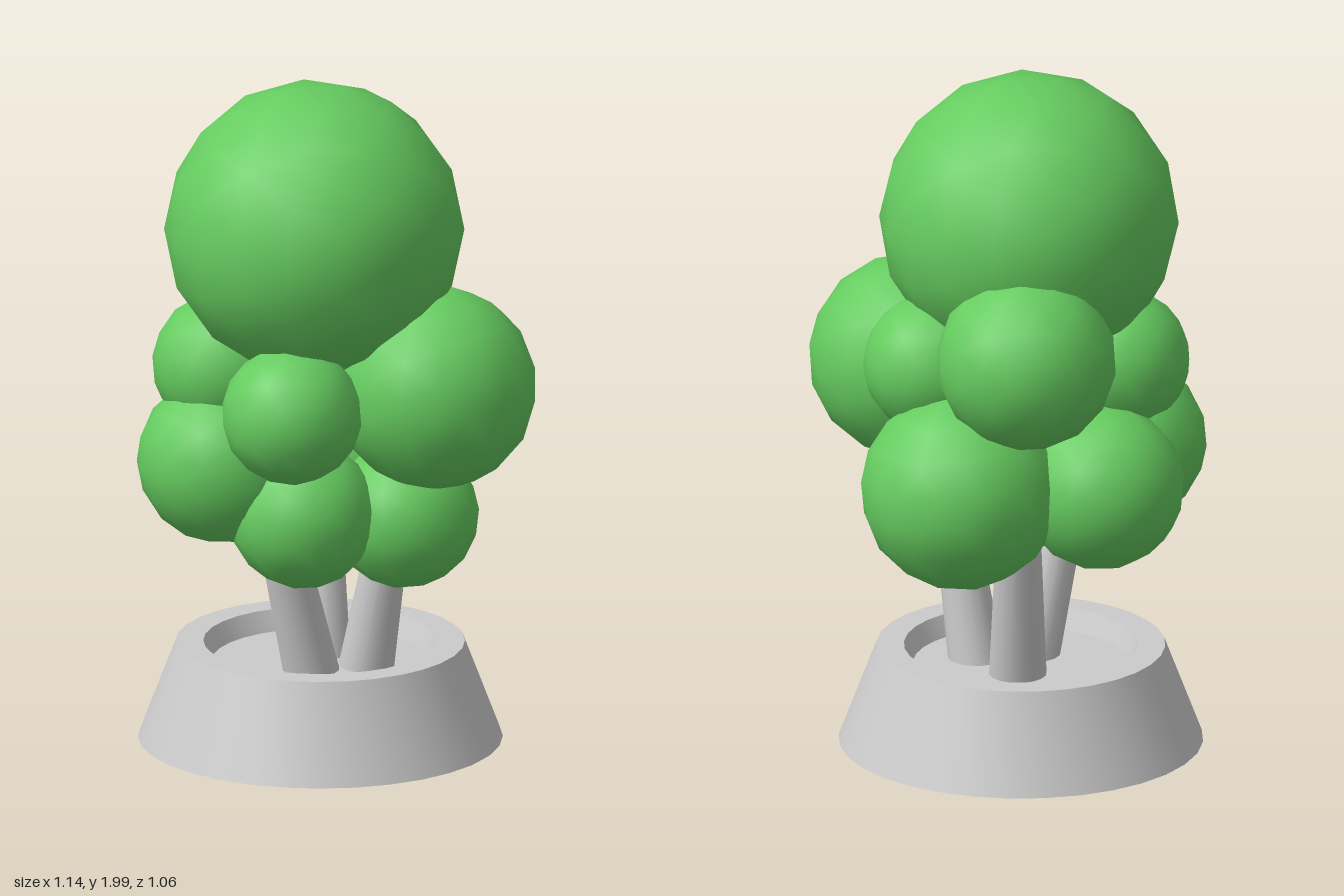
import * as THREE from 'three';
import { toCreasedNormals } from 'three/addons/utils/BufferGeometryUtils.js';

const grey = new THREE.MeshStandardMaterial({ color: 0xcccccc });
const green = new THREE.MeshStandardMaterial({ color: 0x66cc60 });

// Tapered round bar between two points
function trunk(from, to, rBottom, rTop) {
  const a = new THREE.Vector3(...from), b = new THREE.Vector3(...to);
  const dir = b.clone().sub(a);
  const mesh = new THREE.Mesh(new THREE.CylinderGeometry(rTop, rBottom, dir.length(), 16), grey);
  mesh.position.copy(a).add(b).multiplyScalar(0.5);
  mesh.quaternion.setFromUnitVectors(new THREE.Vector3(0, 1, 0), dir.normalize());
  mesh.name = 'trunk';
  return mesh;
}

export function createModel() {
  const model = new THREE.Group();
  model.name = 'pottedTree';

  // Flared base with a raised rim and a recessed floor
  const profile = [[0, 0], [0.53, 0], [0.42, 0.29], [0.34, 0.29], [0.315, 0.23], [0, 0.23]]
    .map(([r, y]) => new THREE.Vector2(r, y));
  const pot = new THREE.Mesh(toCreasedNormals(new THREE.LatheGeometry(profile, 32), 0.6), grey);
  pot.position.x = -0.02;
  pot.name = 'pot';
  model.add(pot);

  // Three trunks leaning outwards into the foliage
  const trunks = new THREE.Group();
  trunks.name = 'trunks';
  trunks.add(
    trunk([-0.06, 0.21, 0.08], [-0.2, 0.8, 0.16], 0.082, 0.06),
    trunk([0.1, 0.21, 0.07], [0.17, 0.75, 0.15], 0.082, 0.055),
    trunk([0, 0.21, -0.08], [0.02, 0.85, -0.25], 0.085, 0.06)
  );
  model.add(trunks);

  // Leaf clumps: x, y, z, radius
  const clumps = [
    [-0.055, 1.565, 0.085, 0.436],
    [0.27, 1.11, 0.235, 0.3],
    [-0.17, 1.08, 0.33, 0.205],
    [-0.11, 0.735, 0.195, 0.217],
    [0.2, 0.705, 0.15, 0.217],
    [-0.325, 0.88, 0.07, 0.248],
    [-0.305, 1.15, 0.01, 0.212],
    [-0.23, 0.83, -0.19, 0.243],
    [0, 1.255, -0.27, 0.262],
    [0.18, 0.84, -0.19, 0.294],
    [0.24, 1.17, -0.01, 0.205]
  ];
  const foliage = new THREE.Group();
  foliage.name = 'foliage';
  clumps.forEach(([x, y, z, r], i) => {
    const clump = new THREE.Mesh(new THREE.IcosahedronGeometry(r, 2), green);
    clump.position.set(x, y, z);
    if (i) clump.rotation.set(i * 0.7, i * 1.3, i * 0.4); // varied facets
    clump.name = 'leafClump';
    foliage.add(clump);
  });
  model.add(foliage);
  return model;
}
